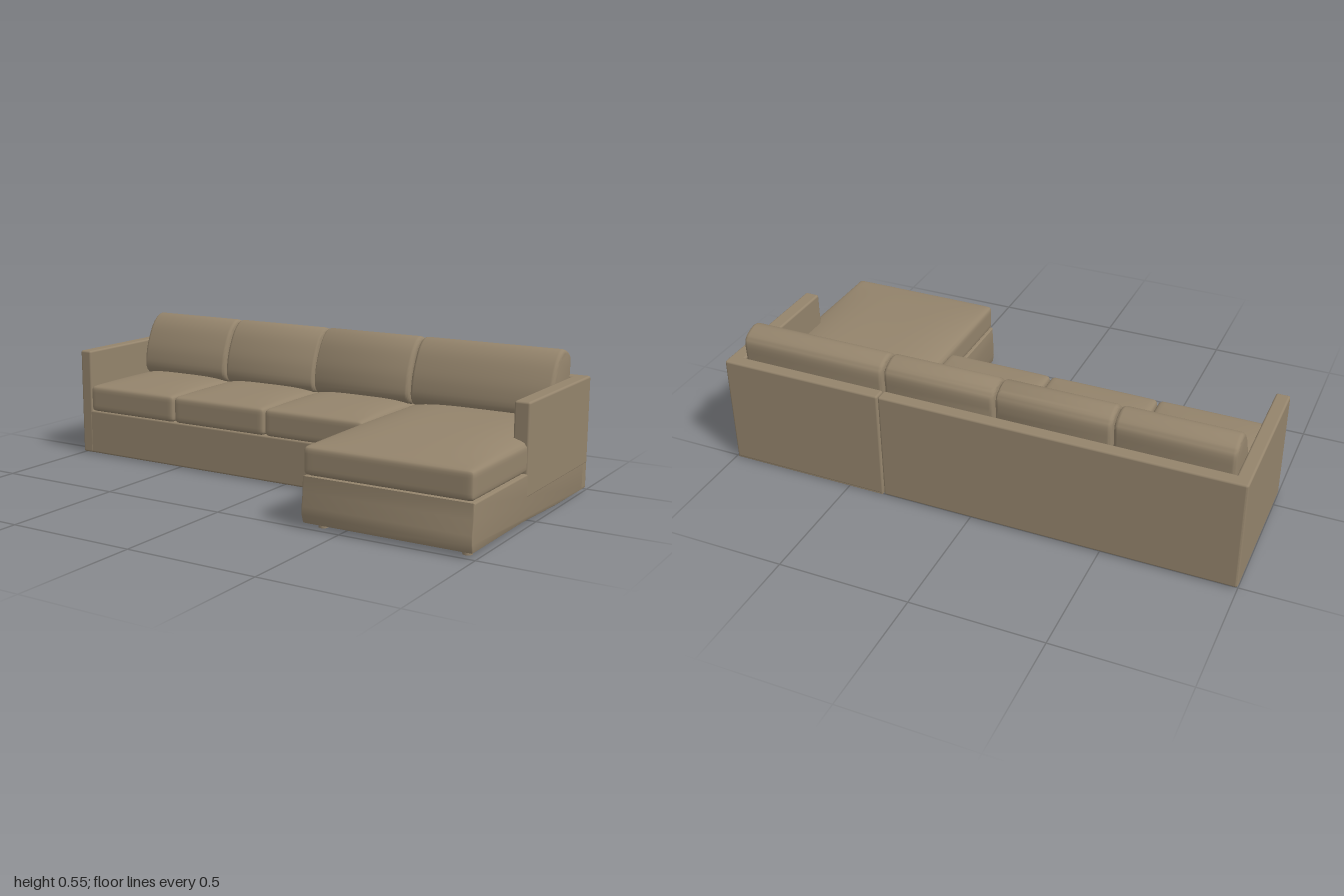
import * as THREE from 'three';
import { mergeVertices, toCreasedNormals } from 'three/addons/utils/BufferGeometryUtils.js';
import { RoundedBoxGeometry } from 'three/addons/geometries/RoundedBoxGeometry.js';

export function createModel() {
  const sofa = new THREE.Group();
  sofa.name = 'sectionalSofa';
  const fabric = new THREE.MeshStandardMaterial({ color: 0x94846c });
  fabric.name = 'taupe fabric';

  const add = (name, geometry) => {
    const mesh = new THREE.Mesh(geometry, fabric);
    mesh.name = name;
    sofa.add(mesh);
    return mesh;
  };

  // Softly edged panel given by its limits
  const panel = (name, x0, x1, y0, y1, z0, z1, r = 0.008) => {
    const geometry = new RoundedBoxGeometry(x1 - x0, y1 - y0, z1 - z0, 3, r);
    geometry.translate((x0 + x1) / 2, (y0 + y1) / 2, (z0 + z1) / 2);
    return add(name, geometry);
  };

  // Side profile in (z, y), extruded across x with rounded ends
  const across = (name, shape, x0, x1, bevel) => {
    const geometry = new THREE.ExtrudeGeometry(shape, {
      depth: x1 - x0 - 2 * bevel, curveSegments: 40, bevelEnabled: true,
      bevelSize: bevel, bevelThickness: bevel, bevelOffset: -bevel, bevelSegments: 4,
    });
    geometry.rotateY(-Math.PI / 2).translate(x1 - bevel, 0, 0);
    return add(name, toCreasedNormals(geometry, 0.7));
  };

  // Seat cushion: a rounded box whose top swells into a crown
  const seat = (name, x0, x1, y0, y1, z0, z1, crown) => {
    const half = new THREE.Vector3(x1 - x0, y1 - y0, z1 - z0).multiplyScalar(0.5);
    const r = 0.018;
    const inner = half.clone().subScalar(r);
    let geometry = new THREE.BoxGeometry(2, 2, 2, 24, 12, 24);
    geometry.deleteAttribute('uv');
    geometry.deleteAttribute('normal');
    geometry = mergeVertices(geometry);
    const pos = geometry.attributes.position;
    const p = new THREE.Vector3(), core = new THREE.Vector3();
    const pack = (t) => Math.sin(t * Math.PI / 2); // crowds vertices to the edges
    for (let i = 0; i < pos.count; i++) {
      p.fromBufferAttribute(pos, i);
      p.set(pack(p.x), pack(p.y), pack(p.z));
      const swell = crown * (1 - p.x ** 4) * (1 - p.z ** 2) * Math.max(0, p.y);
      p.multiply(half);
      core.copy(p).clamp(inner.clone().negate(), inner);
      p.sub(core).setLength(r).add(core);
      pos.setXYZ(i, p.x, p.y + swell, p.z);
    }
    geometry.computeVertexNormals();
    geometry.translate((x0 + x1) / 2, (y0 + y1) / 2, (z0 + z1) / 2);
    return add(name, geometry);
  };

  // Main section: base, back and arm
  panel('mainBase', -0.998, 0.352, 0.004, 0.185, -0.508, 0.075);
  panel('mainBack', -0.998, 0.352, 0.004, 0.435, -0.509, -0.458);
  panel('rightArm', -1, -0.948, 0.004, 0.435, -0.508, 0.076);

  // Chaise section: base with a bowed front and a rising underside
  const side = new THREE.Shape([
    [-0.508, 0.003], [-0.2, 0.007], [0.1, 0.02], [0.498, 0.02],
    [0.508, 0.05], [0.508, 0.08], [0.502, 0.13], [0.5, 0.185], [-0.508, 0.185],
  ].map(([z, y]) => new THREE.Vector2(z, y)));
  across('chaiseBase', side, 0.355, 0.992, 0.006);
  panel('chaiseBack', 0.355, 0.992, 0.004, 0.435, -0.509, -0.458);
  panel('leftArm', 0.935, 0.993, 0.1, 0.435, -0.508, 0.076);

  // Seat cushions
  const seams = [-0.946, -0.514, -0.08, 0.354];
  for (let i = 0; i < 3; i++) {
    seat('seatCushion' + (i + 1), seams[i] + 0.002, seams[i + 1] - 0.002, 0.185, 0.292, -0.46, 0.086, 0.018);
  }
  seat('chaiseCushion', 0.357, 0.988, 0.187, 0.29, -0.46, 0.502, 0.033);

  // Back cushions, leaning against the back
  const outline = [
    [-0.43, 0.29], [-0.3, 0.29], [-0.274, 0.32], [-0.276, 0.38], [-0.294, 0.44],
    [-0.332, 0.51], [-0.378, 0.544], [-0.425, 0.536], [-0.456, 0.513], [-0.459, 0.44], [-0.45, 0.34],
  ].map(([z, y]) => new THREE.Vector3(z, y, 0));
  const curve = new THREE.CatmullRomCurve3(outline, true, 'centripetal');
  const pillow = new THREE.Shape(curve.getPoints(48).slice(0, -1).map((v) => new THREE.Vector2(v.x, v.y)));
  const ends = [...seams, 0.936];
  for (let i = 0; i < 4; i++) {
    across('backCushion' + (i + 1), pillow, ends[i] + 0.003, ends[i + 1] - 0.003, 0.016);
  }

  // Short round feet
  const feet = [
    [0.41, 0.45], [0.95, 0.45], [0.41, -0.45], [0.95, -0.45],
    [-0.94, 0.02], [0.3, 0.02], [-0.94, -0.45], [0.3, -0.45],
  ];
  for (const [x, z] of feet) {
    add('foot', new THREE.CylinderGeometry(0.017, 0.017, 0.03, 16)).position.set(x, 0.015, z);
  }
  return sofa;
}
